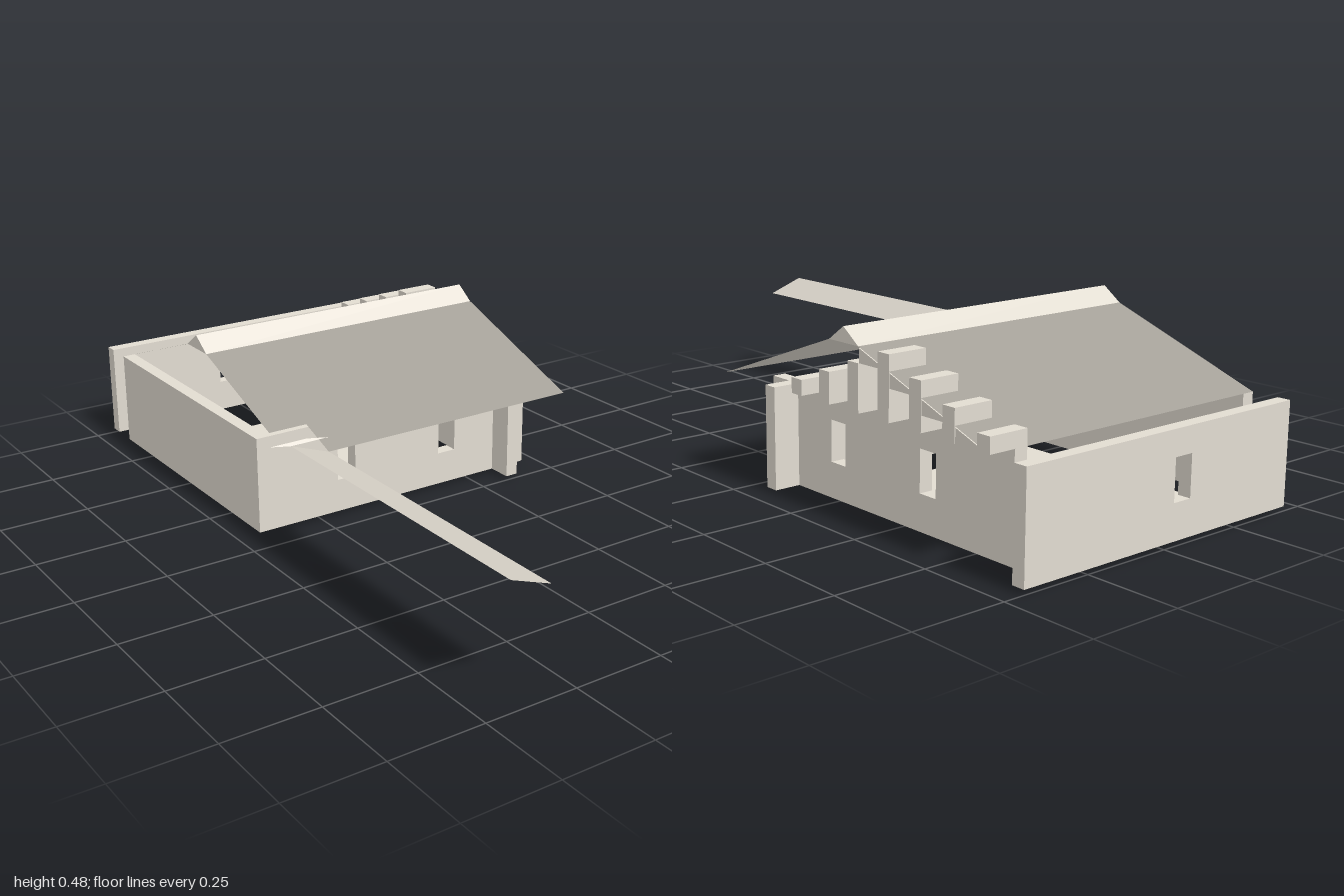
import * as THREE from 'three';

export function createModel() {
  const model = new THREE.Group();
  const color = 0xe2dcd1;
  const mat = new THREE.MeshStandardMaterial({ color, flatShading: true });
  const sheetMat = new THREE.MeshStandardMaterial({ color, side: THREE.DoubleSide });

  const add = (name, geometry, material = mat) => {
    const mesh = new THREE.Mesh(geometry, material);
    mesh.name = name;
    model.add(mesh);
    return mesh;
  };

  // box given by its limits
  const box = (name, x0, x1, y0, y1, z0, z1) =>
    add(name, new THREE.BoxGeometry(x1 - x0, y1 - y0, z1 - z0))
      .position.set((x0 + x1) / 2, (y0 + y1) / 2, (z0 + z1) / 2);

  const polygon = (points) => new THREE.Shape(points.map(([a, b]) => new THREE.Vector2(a, b)));
  const extrude = (shape, depth) => new THREE.ExtrudeGeometry(shape, { depth, bevelEnabled: false });

  // profile drawn as (z, y), extruded along x
  const alongX = (name, points, x0, x1) => {
    const mesh = add(name, extrude(polygon(points.map(([z, y]) => [-z, y])), x1 - x0));
    mesh.rotation.y = Math.PI / 2;
    mesh.position.x = x0;
  };

  // thin open sheet fanned from its first corner, with one shading normal
  const sheet = (name, normal, points) => {
    const g = new THREE.BufferGeometry();
    const index = [];
    for (let i = 1; i < points.length - 1; i++) index.push(0, i, i + 1);
    g.setAttribute('position', new THREE.Float32BufferAttribute(points.flat(), 3));
    g.setAttribute('normal', new THREE.Float32BufferAttribute(points.flatMap(() => normal), 3));
    g.setIndex(index);
    add(name, g, sheetMat);
  };

  const W = 0.443, base = 0.012, top = 0.28;

  // wall with window openings; u runs along the wall
  const wall = (name, u0, u1, thickness, windows) => {
    const shape = polygon([[u0, base], [u1, base], [u1, top], [u0, top]]);
    for (const u of windows) {
      shape.holes.push(polygon([[u, 0.105], [u, 0.213], [u + 0.056, 0.213], [u + 0.056, 0.105]]));
    }
    return add(name, extrude(shape, thickness));
  };

  wall('frontWall', -W, W, 0.038, [-0.196, 0.139]).position.z = -0.108;
  wall('backWall', -W, W, 0.036, [-0.084]).position.z = -1;
  const right = wall('sideWallWithWindows', 0, 0.89, 0.037, [0.245, 0.58]);
  right.rotation.y = Math.PI / 2;
  right.position.x = 0.333;
  box('plainSideWall', -W, -0.406, base, top, -0.89, -0.07);

  // floor slab with a notched rear corner
  const floor = add('floor', extrude(polygon([
    [-0.335, 0.22], [0.222, 0.22], [0.222, 0.89], [0, 0.89], [0, 0.775], [-0.335, 0.775],
  ]), base));
  floor.rotation.x = -Math.PI / 2;

  // roof slopes; the front one is notched at a corner, where a flap tilts the other way
  const N = -0.333, D = Math.SQRT1_2, toBack = [0, D, -D], toFront = [0, D, D];
  sheet('frontRoofSlope', toBack, [
    [N, 0.32, 0], [N, top, 0.11], [W, top, 0.11], [W, 0.44, -0.335], [-W, 0.44, -0.335], [-W, 0.32, 0],
  ]);
  sheet('backRoofSlope', toFront, [
    [W, top, -0.89], [-W, top, -0.89], [-W, 0.44, -0.445], [W, 0.44, -0.445],
  ]);
  sheet('cornerFlap', toFront, [[-W, top, 0], [-W, 0.32, 0.11], [N, 0.32, 0.11], [N, top, 0]]);

  // long eave strip
  sheet('eaveStrip', [D, D, 0], [[-W, 0.32, 0.11], [-W, 0.32, 1], [N, top, 1], [N, top, 0.11]]);

  // ridge cap with closed ends
  sheet('ridgeFront', toFront, [
    [-W, 0.44, -0.335], [W, 0.44, -0.335], [W, 0.479, -0.39], [-W, 0.479, -0.39],
  ]);
  sheet('ridgeBack', toBack, [
    [W, 0.44, -0.445], [-W, 0.44, -0.445], [-W, 0.479, -0.39], [W, 0.479, -0.39],
  ]);
  for (const x of [-W, W]) {
    sheet('ridgeEnd', [1, 0, 0], [[x, 0.44, -0.335], [x, 0.44, -0.445], [x, 0.479, -0.39]]);
  }

  // stepped gable posts, tallest in the middle
  for (let i = -3; i <= 3; i++) {
    const z = -0.536 - i * 0.1113;
    box('gablePost', 0.333, W, top, 0.44 - Math.abs(i) * 0.04, z - 0.02, z + 0.02);
  }

  // infill just under the rear slope between posts
  const slopeY = (z) => 0.436 + (z + 0.445) * (0.16 / 0.445);
  for (let i = 0; i < 4; i++) {
    const z0 = -0.445 - i * 0.1113, z1 = z0 - 0.071, low = 0.4 - i * 0.04;
    alongX('gableInfill', [[z0, low], [z1, low], [z1, slopeY(z1)], [z0, slopeY(z0)]], 0.333, W - 0.002);
  }

  return model;
}
